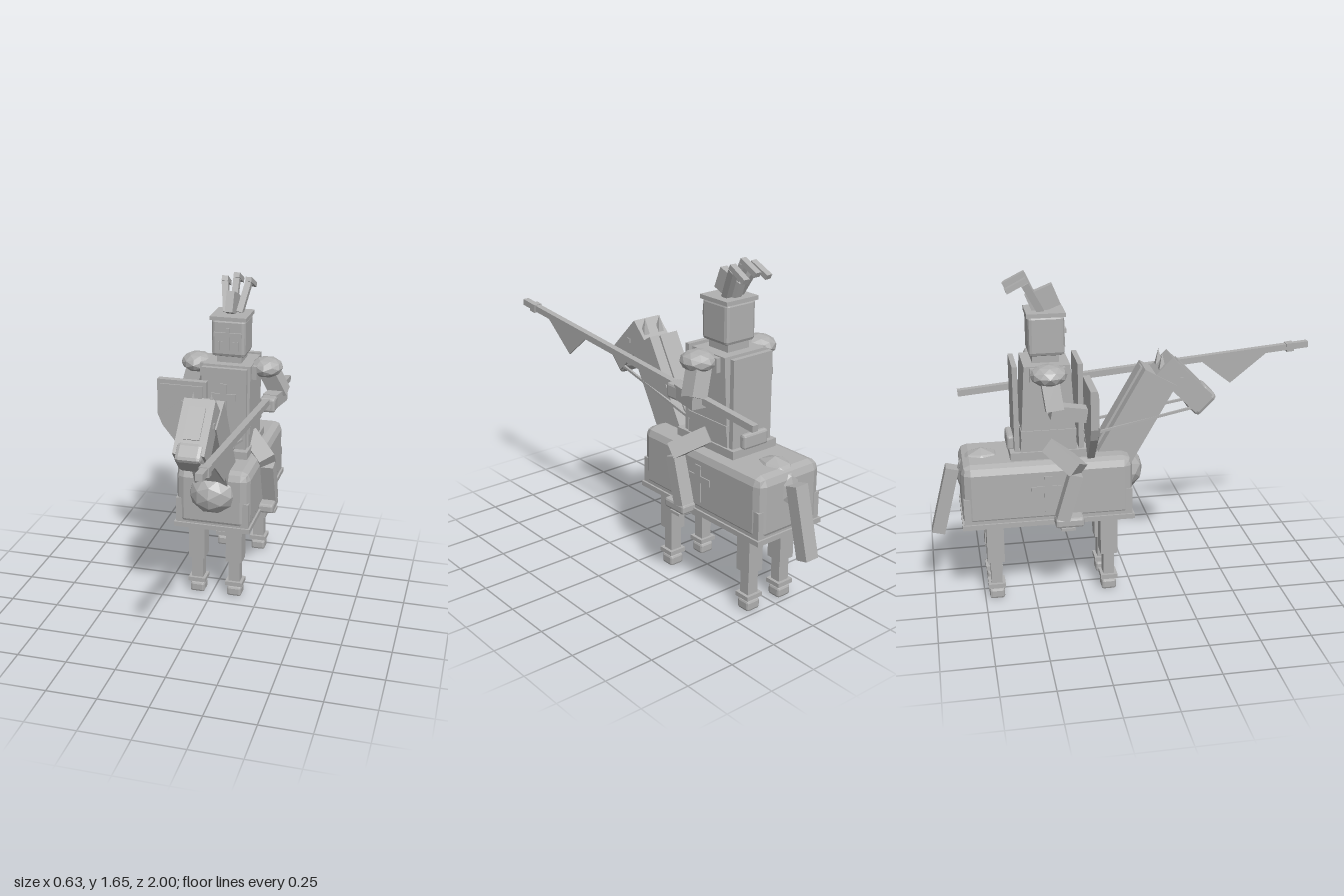
import * as THREE from 'three';
import { RoundedBoxGeometry } from 'three/addons/geometries/RoundedBoxGeometry.js';

export function createModel() {
  const root = new THREE.Group();
  root.name = 'mountedKnight';
  const gray = new THREE.MeshStandardMaterial({ color: 0xb0b0b0, flatShading: true });
  gray.name = 'plain gray';
  const model = new THREE.Group();
  model.name = 'knightAndHorse';
  model.position.x = 0.02;
  root.add(model);

  const add = (name, geo, x = 0, y = 0, z = 0) => {
    const m = new THREE.Mesh(geo, gray);
    m.name = name;
    m.position.set(x, y, z);
    model.add(m);
    return m;
  };
  const box = (name, w, h, d, x, y, z) => add(name, new THREE.BoxGeometry(w, h, d), x, y, z);
  const soft = (name, w, h, d, r, x, y, z) => add(name, new RoundedBoxGeometry(w, h, d, 1, r), x, y, z);
  const ball = (name, rx, ry, rz, x, y, z) =>
    add(name, new THREE.IcosahedronGeometry(1, 1).scale(rx, ry, rz), x, y, z);
  // box of section w by d whose long axis runs from a to b
  const beam = (name, a, b, w, d, round = 0) => {
    const A = new THREE.Vector3(...a), B = new THREE.Vector3(...b);
    const dir = B.clone().sub(A), len = dir.length();
    dir.normalize();
    const side = new THREE.Vector3(1, 0, 0).addScaledVector(dir, -dir.x).normalize();
    const geo = round ? new RoundedBoxGeometry(w, len, d, 1, round) : new THREE.BoxGeometry(w, len, d);
    const m = add(name, geo);
    m.position.copy(A).add(B).multiplyScalar(0.5);
    m.quaternion.setFromRotationMatrix(
      new THREE.Matrix4().makeBasis(side, dir, side.clone().cross(dir)));
    return m;
  };
  const plate = (name, pts, depth, x, y, z) => add(name, new THREE.ExtrudeGeometry(
    new THREE.Shape(pts.map(p => new THREE.Vector2(...p))), { depth, bevelEnabled: false }), x, y, z);

  // horse body in its cloth
  soft('horseBody', 0.385, 0.32, 0.84, 0.045, 0, 0.58, -0.423);
  box('clothSkirt', 0.38, 0.15, 0.83, 0, 0.5, -0.423);
  box('clothHem', 0.4, 0.025, 0.85, 0, 0.43, -0.423);
  ball('chest', 0.125, 0.11, 0.115, 0, 0.615, -0.04);
  ball('rump', 0.105, 0.13, 0.13, 0, 0.64, -0.735);
  beam('tail', [0, 0.68, -0.88], [0, 0.34, -0.965], 0.075, 0.065);

  // horse legs
  for (const x of [-0.1, 0.1]) for (const z of [-0.12, -0.69]) {
    box('upperLeg', 0.085, 0.24, 0.085, x, 0.325, z);
    box('lowerLeg', 0.06, 0.16, 0.055, x, 0.13, z);
    box('fetlock', 0.092, 0.022, 0.085, x, 0.075, z);
    soft('hoof', 0.078, 0.055, 0.075, 0.012, x, 0.0275, z);
  }

  // neck, mane and head
  beam('horseNeck', [0, 0.63, -0.122], [0, 1.107, 0.153], 0.17, 0.18);
  beam('mane', [0, 0.72, -0.17], [0, 1.145, 0.075], 0.06, 0.03);
  beam('horseHead', [0, 1.16, 0.17], [0, 0.955, 0.375], 0.155, 0.12);
  beam('muzzle', [0, 1.0, 0.33], [0, 0.93, 0.4], 0.13, 0.14, 0.02);
  beam('foreheadPlate', [0, 1.17, 0.245], [0, 1.05, 0.362], 0.08, 0.015);

  // parts on both sides of horse and rider
  for (const s of [-1, 1]) {
    const ear = add('horseEar', new THREE.ConeGeometry(0.026, 0.09, 4), s * 0.045, 1.175, 0.165);
    ear.rotation.y = Math.PI / 4;
    box('horseEye', 0.008, 0.022, 0.022, s * 0.079, 1.09, 0.255);
    box('nostril', 0.008, 0.015, 0.015, s * 0.066, 0.965, 0.37);
    beam('rein', [s * 0.07, 0.94, 0.33], [s * 0.1, 0.83, -0.26], 0.012, 0.012);
    // cross on the cloth
    box('clothCrossUpright', 0.008, 0.185, 0.04, s * 0.194, 0.58, -0.425);
    box('clothCrossBar', 0.008, 0.034, 0.145, s * 0.194, 0.605, -0.435);
    // rider leg
    beam('thigh', [s * 0.1, 0.795, -0.4], [s * 0.228, 0.705, -0.28], 0.09, 0.08);
    beam('shin', [s * 0.225, 0.69, -0.295], [s * 0.23, 0.46, -0.365], 0.07, 0.065);
    soft('boot', 0.1, 0.05, 0.14, 0.012, s * 0.215, 0.445, -0.33);
    box('stirrup', 0.105, 0.014, 0.07, s * 0.215, 0.414, -0.34);
    ball('pauldron', 0.085, 0.052, 0.09, s * 0.185, 1.183, -0.41);
  }

  // saddle
  box('saddle', 0.27, 0.05, 0.4, 0, 0.755, -0.4);
  soft('cantle', 0.15, 0.075, 0.035, 0.012, 0, 0.81, -0.593);
  soft('pommel', 0.13, 0.06, 0.035, 0.012, 0, 0.81, -0.21);

  // torso, wider towards the waist
  const torso = new THREE.BoxGeometry(0.25, 0.47, 0.28);
  const p = torso.attributes.position;
  for (let i = 0; i < p.count; i++) if (p.getY(i) > 0) p.setZ(i, p.getZ(i) * 0.8);
  add('torso', torso, 0, 0.975, -0.41);
  box('shoulders', 0.3, 0.07, 0.17, 0, 1.17, -0.41);
  box('tabardFront', 0.235, 0.46, 0.025, 0, 0.98, -0.25);
  box('tabardBack', 0.235, 0.45, 0.025, 0, 0.985, -0.565);
  box('tabardCrossUpright', 0.035, 0.22, 0.008, 0, 1.02, -0.234);
  box('tabardCrossBar', 0.13, 0.035, 0.008, 0, 1.06, -0.234);
  box('belt', 0.262, 0.035, 0.27, 0, 0.87, -0.41);
  box('collar', 0.13, 0.05, 0.13, 0, 1.225, -0.41);

  // helmet
  soft('helmet', 0.178, 0.2, 0.175, 0.018, 0, 1.345, -0.405);
  box('helmetBrim', 0.19, 0.02, 0.187, 0, 1.447, -0.405);
  box('visorUpright', 0.02, 0.13, 0.012, 0, 1.335, -0.314);
  box('visorBar', 0.148, 0.022, 0.012, 0, 1.365, -0.314);
  for (const s of [-1, 1]) for (const x of [0.03, 0.05])
    box('breathSlit', 0.01, 0.048, 0.008, s * x, 1.305, -0.316);

  // plume: fin and three bent feathers
  beam('plumeFin', [0, 1.455, -0.39], [0, 1.555, -0.43], 0.04, 0.14);
  for (const s of [-1, 0, 1]) {
    const lift = s ? 0 : 0.02;
    const bend = [s * 0.062, 1.595 + lift, -0.5];
    beam('featherStem', [s * 0.035, 1.455, -0.425], bend, 0.032, 0.035);
    beam('featherTip', [bend[0], bend[1] + 0.02, bend[2] + 0.01],
      [s * 0.068, 1.565 + lift, -0.59], 0.032, 0.025);
  }

  // lance arm
  beam('lanceUpperArm', [0.185, 1.18, -0.42], [0.252, 1.03, -0.46], 0.085, 0.085);
  beam('lanceForearm', [0.245, 1.02, -0.49], [0.22, 1.025, -0.33], 0.075, 0.07);
  soft('lanceGauntlet', 0.08, 0.075, 0.09, 0.012, 0.22, 1.02, -0.315);
  // shield arm
  beam('shieldUpperArm', [-0.185, 1.18, -0.41], [-0.225, 1.02, -0.39], 0.085, 0.085);
  beam('shieldForearm', [-0.225, 1.02, -0.41], [-0.215, 0.99, -0.24], 0.07, 0.07);

  // lance with pennant
  beam('lance', [0.215, 0.99, -0.828], [0.215, 1.152, 0.998], 0.033, 0.032);
  beam('lanceGrip', [0.215, 1.008, -0.46], [0.215, 1.027, -0.27], 0.045, 0.05);
  beam('lanceCollar', [0.215, 1.139, 0.88], [0.215, 1.143, 0.92], 0.045, 0.044);
  const pennant = plate('pennant', [[-0.785, 1.12], [-0.585, 0.96], [-0.425, 1.088]], 0.008, 0.211, 0, 0);
  pennant.rotation.y = Math.PI / 2;

  // shield
  const outline = k => [[-0.13, 0.16], [-0.13, -0.03], [-0.105, -0.09], [0, -0.22],
    [0.105, -0.09], [0.13, -0.03], [0.13, 0.16]].map(([x, y]) => [x * k, y * k]);
  plate('shield', outline(1), 0.035, -0.213, 0.98, -0.235);
  plate('shieldFace', outline(0.86), 0.008, -0.213, 0.98, -0.2);
  plate('shieldChevron', [[-0.108, -0.03], [0, 0.06], [0.108, -0.03], [0.09, -0.075],
    [0, 0.005], [-0.09, -0.075]], 0.006, -0.213, 0.98, -0.193);
  return root;
}
